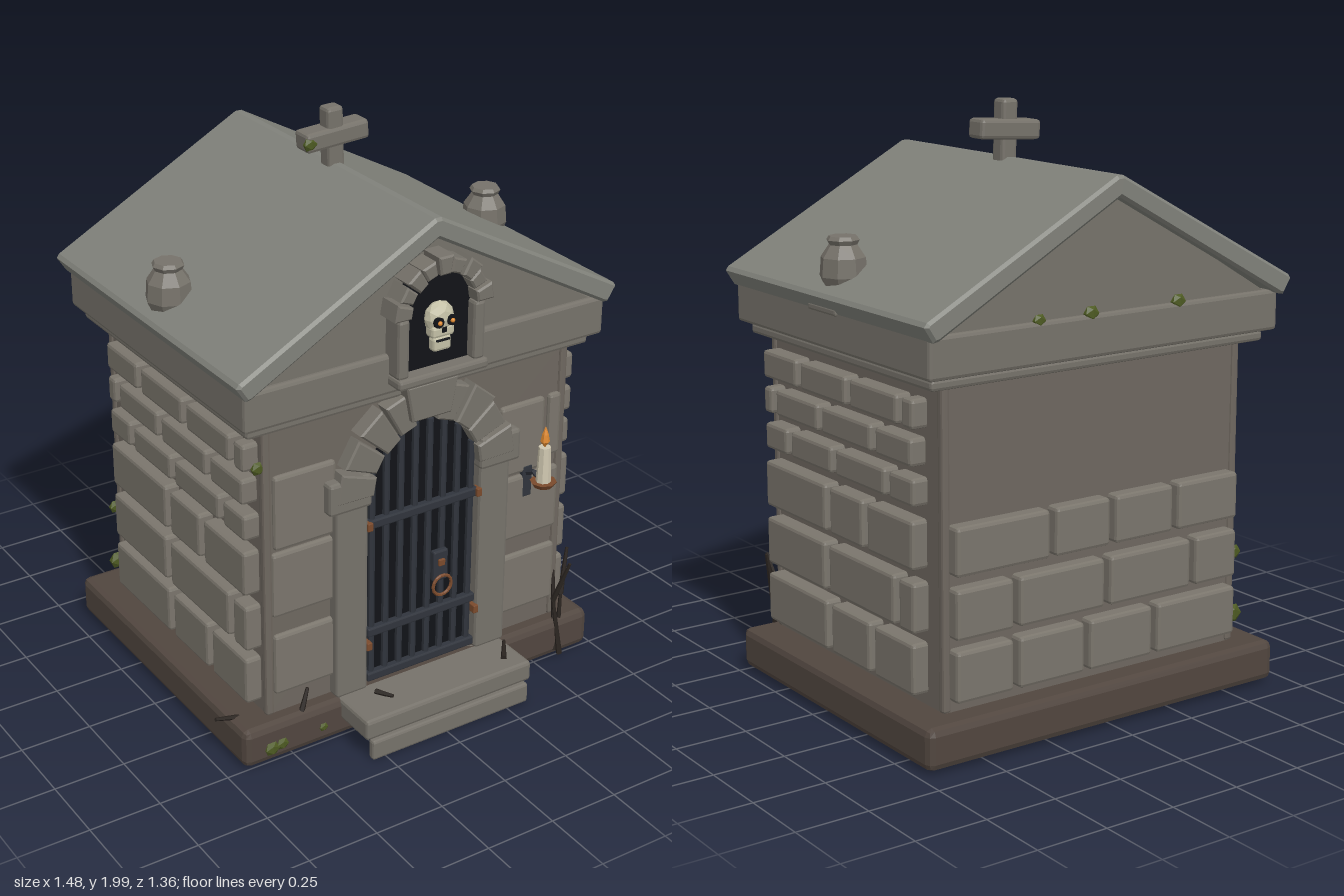
import * as THREE from 'three';
import { RoundedBoxGeometry } from 'three/addons/geometries/RoundedBoxGeometry.js';

const paint = (color) => new THREE.MeshStandardMaterial({ color, flatShading: true, side: THREE.DoubleSide });
const M = {
  roof: paint(0x80817a), stone: paint(0x76726a), brick: paint(0x7a756c), wall: paint(0x6e675f),
  base: paint(0x51463f), dark: paint(0x111317), iron: paint(0x30343c), rust: paint(0x7a4a2c),
  bone: paint(0xc4c0a6), glow: paint(0xe08a30), moss: paint(0x4d5a22), twig: paint(0x2a2420), wax: paint(0xcfc7b0),
};
const CX = 0.017; // symmetry axis of the building

export function createModel() {
  const root = new THREE.Group();
  root.name = 'mausoleum';

  const add = (name, geo, mat, parent = root) => {
    const m = new THREE.Mesh(geo, mat);
    m.name = name;
    parent.add(m);
    return m;
  };
  const group = (name) => {
    const g = new THREE.Group();
    g.name = name;
    root.add(g);
    return g;
  };
  // Chamfered block given by its extents
  const block = (name, x0, x1, y0, y1, z0, z1, mat, parent = root, r = 0.012) => {
    const w = x1 - x0, h = y1 - y0, d = z1 - z0;
    const m = add(name, new RoundedBoxGeometry(w, h, d, 1, Math.min(r, w * 0.3, h * 0.3, d * 0.3)), mat, parent);
    m.position.set((x0 + x1) / 2, (y0 + y1) / 2, (z0 + z1) / 2);
    return m;
  };
  // Flat outline extruded from z0 to z1 with a small inset bevel
  const slab = (name, shape, z0, z1, mat, parent = root, b = 0.006) => {
    const m = add(name, new THREE.ExtrudeGeometry(shape, {
      depth: z1 - z0 - 2 * b, bevelEnabled: b > 0, bevelSize: b, bevelThickness: b,
      bevelOffset: -b, bevelSegments: 1, curveSegments: 10,
    }), mat, parent);
    m.position.z = z0 + b;
    return m;
  };
  const poly = (pts) => new THREE.Shape(pts.map(([x, y]) => new THREE.Vector2(x, y)));
  // Thin rod between two points
  const rod = (name, a, b, r0, r1, mat, parent = root, sides = 5) => {
    const p = new THREE.Vector3(...a), q = new THREE.Vector3(...b);
    const m = add(name, new THREE.CylinderGeometry(r1, r0, p.distanceTo(q), sides), mat, parent);
    m.position.copy(p).lerp(q, 0.5);
    m.quaternion.setFromUnitVectors(new THREE.Vector3(0, 1, 0), q.sub(p).normalize());
    return m;
  };
  // Opening with a round head
  const archShape = (r, y0, yc) => {
    const s = new THREE.Shape();
    s.moveTo(CX - r, y0);
    s.lineTo(CX + r, y0);
    s.lineTo(CX + r, yc);
    s.absarc(CX, yc, r, 0, Math.PI, false);
    s.closePath();
    return s;
  };
  // Ring of wedge stones around an arch
  const archStones = (name, n, yc, r0, r1, z0, z1, parent, skip = -1) => {
    for (let i = 0; i < n; i++) {
      if (i === skip) continue;
      const a0 = (i + 0.06) * Math.PI / n, a1 = (i + 0.94) * Math.PI / n;
      const R = r1 - (i % 2) * 0.012;
      const at = (r, a) => [CX + r * Math.cos(a), yc + r * Math.sin(a)];
      slab(name, poly([at(r0, a0), at(R, a0), at(R, a1), at(r0, a1)]), z0, z1 - (i % 2) * 0.008, M.stone, parent);
    }
  };

  // Plinth, steps and wall core
  block('plinth', -0.69, 0.725, 0.02, 0.16, -0.66, 0.515, M.base, root, 0.025);
  block('upperStep', -0.32, 0.352, 0.085, 0.16, 0.42, 0.672, M.stone);
  block('lowerStep', -0.302, 0.335, 0.008, 0.082, 0.652, 0.682, M.stone);
  block('wallCore', -0.57, 0.605, 0.15, 1.22, -0.565, 0.455, M.wall, root, 0.008);
  for (const x of [-0.577, 0.582])
    for (const z of [-0.572, 0.435]) block('cornerPost', x, x + 0.03, 0.16, 1.21, z, z + 0.03, M.wall);

  // Brick courses: bottom, top and the joints along each course
  const courses = [
    [0.2, 0.37, [0.435, 0.033, -0.232, -0.49]], [0.405, 0.57, [0.435, 0.043, -0.38, -0.495]],
    [0.61, 0.77, [0.435, 0.032, -0.197, -0.49]], [0.815, 0.905, [0.43, 0.275, -0.01, -0.33, -0.495]],
    [0.94, 1.03, [0.435, 0.37, 0.072, -0.252, -0.485]], [1.06, 1.155, [0.435, 0.205, -0.103, -0.405, -0.495]],
  ];
  const sideBricks = group('sideBricks'), backBricks = group('backBricks'), frontBricks = group('frontBricks');
  courses.forEach(([y0, y1, zs]) => {
    for (let i = 0; i + 1 < zs.length; i++) {
      const z1 = zs[i] - (i ? 0.015 : 0), z0 = zs[i + 1] + 0.015;
      block('sideBrick', 0.59, 0.662, y0, y1, z0, z1, M.brick, sideBricks);
      block('sideBrick', -0.626, -0.56, y0, y1, -0.055 - z1, -0.055 - z0, M.brick, sideBricks);
    }
  });
  [[-0.56, -0.2, 0.08, 0.36, 0.6], [-0.56, -0.36, 0.0, 0.36, 0.6], [-0.56, -0.28, -0.02, 0.22, 0.6]].forEach((xs, row) => {
    for (let i = 0; i + 1 < xs.length; i++)
      block('backBrick', xs[i] + 0.012, xs[i + 1] - 0.012, courses[row][0], courses[row][1], -0.615, -0.55, M.brick, backBricks);
  });
  for (const [x0, x1, y0, y1] of [
    [-0.545, -0.31, 0.235, 0.46], [-0.55, -0.31, 0.53, 0.765], [-0.54, -0.31, 0.775, 1.04],
    [0.34, 0.59, 0.235, 0.46], [0.34, 0.59, 0.525, 0.765], [0.34, 0.522, 0.775, 1.04], [0.54, 0.59, 0.81, 1.04],
  ]) block('frontBrick', x0, x1, y0, y1, 0.43, 0.472, M.brick, frontBricks);

  // Doorway: dark recess, jambs, capitals, arch and keystone
  const doorway = group('doorway');
  slab('doorRecess', archShape(0.225, 0.16, 0.88), 0.4, 0.46, M.dark, doorway, 0);
  for (const s of [-1, 1]) {
    const span = (a, b) => (s > 0 ? [CX + a, CX + b] : [CX - b, CX - a]);
    block('jamb', ...span(0.222, 0.343), 0.155, 0.88, 0.42, 0.5, M.stone, doorway);
    block('capital', ...span(0.215, 0.376), 0.86, 0.975, 0.42, 0.512, M.stone, doorway);
  }
  archStones('archStone', 9, 0.89, 0.21, 0.35, 0.43, 0.515, doorway, 4);
  slab('keystone', poly([[CX - 0.075, 1.125], [CX + 0.075, 1.125], [CX + 0.1, 1.252], [CX - 0.1, 1.252]]), 0.43, 0.53, M.stone, doorway);

  // Iron gate with lock plate, ring and hinges
  const gate = group('gate');
  for (let i = 0; i < 8; i++) {
    const x = -0.178 + i * 0.056, dx = x - CX;
    rod('gateBar', [x, 0.17, 0.474], [x, 0.88 + Math.sqrt(0.215 ** 2 - dx * dx), 0.474], 0.012, 0.012, M.iron, gate, 6);
  }
  for (const y of [0.19, 0.365, 0.775]) block('gateRail', -0.2, 0.234, y - 0.016, y + 0.016, 0.466, 0.494, M.iron, gate, 0.005);
  block('lockPlate', 0.053, 0.112, 0.485, 0.6, 0.48, 0.504, M.iron, gate, 0.006);
  block('lockStud', 0.07, 0.095, 0.545, 0.57, 0.5, 0.512, M.rust, gate, 0.003);
  add('pullRing', new THREE.TorusGeometry(0.037, 0.006, 6, 14), M.rust, gate).position.set(0.083, 0.472, 0.512);
  for (const x of [-0.2, 0.234])
    for (const y of [0.32, 0.775]) block('hinge', x - 0.01, x + 0.01, y - 0.015, y + 0.015, 0.47, 0.505, M.rust, gate, 0.003);

  // Cornice, pediment and roof
  block('cornicePlate', -0.642, 0.676, 1.205, 1.242, -0.612, 0.485, M.stone);
  block('corniceBeam', -0.67, 0.708, 1.245, 1.382, -0.65, 0.52, M.stone);
  slab('pediment', poly([[-0.64, 1.37], [0.675, 1.37], [CX, 1.76]]), -0.63, 0.5, M.stone, root, 0);
  const eave = [[0.012, 1.81], [0.712, 1.432], [0.722, 1.418], [0.69, 1.368], [0.67, 1.372], [0, 1.742]];
  const left = eave.slice(0, 5).reverse().map(([x, y]) => [-x, y]);
  slab('roof', poly([...eave, ...left].map(([x, y]) => [x + CX, y])), -0.68, 0.545, M.roof, root, 0.01);
  block('eaveChip', 0.66, 0.718, 1.362, 1.388, -0.135, 0.035, M.stone);

  // Niche with skull
  const niche = group('niche');
  slab('nicheRecess', archShape(0.14, 1.3, 1.51), 0.45, 0.535, M.dark, niche, 0);
  block('nicheSill', -0.152, 0.19, 1.28, 1.316, 0.48, 0.588, M.stone, niche);
  for (const x of [-0.148, 0.14]) block('nichePost', x, x + 0.042, 1.31, 1.515, 0.48, 0.575, M.stone, niche);
  archStones('nicheStone', 9, 1.515, 0.125, 0.187, 0.48, 0.588, niche);
  const skull = group('skull');
  skull.position.set(0.018, 1.485, 0.548);
  add('cranium', new THREE.IcosahedronGeometry(0.05, 1), M.bone, skull).scale.set(1.05, 1.1, 0.75);
  block('jaw', -0.034, 0.034, -0.108, -0.06, -0.01, 0.026, M.bone, skull, 0.01);
  block('cheeks', -0.042, 0.042, -0.06, -0.02, -0.015, 0.03, M.bone, skull, 0.01);
  block('mouth', -0.026, 0.026, -0.073, -0.066, 0.02, 0.03, M.dark, skull, 0.002);
  block('nose', -0.008, 0.008, -0.042, -0.022, 0.024, 0.034, M.dark, skull, 0.002);
  for (const x of [-0.024, 0.024]) {
    const socket = add('eyeSocket', new THREE.CylinderGeometry(0.018, 0.018, 0.012, 8), M.dark, skull);
    socket.rotation.x = Math.PI / 2;
    socket.position.set(x, -0.003, 0.034);
    add('eyeGlow', new THREE.IcosahedronGeometry(0.008, 1), M.glow, skull).position.set(x, -0.003, 0.041);
  }

  // Roof cross and urns
  const cross = group('cross');
  cross.position.set(CX, 1.9, -0.065);
  block('crossPost', -0.032, 0.03, -0.12, 0.1, -0.03, 0.03, M.stone, cross).rotation.z = 0.03;
  block('crossBar', -0.116, 0.122, -0.032, 0.034, -0.044, 0.037, M.stone, cross).rotation.z = 0.06;
  const urnProfile = [[0, 1.4], [0.045, 1.4], [0.078, 1.475], [0.073, 1.535], [0.046, 1.575], [0.054, 1.59], [0.046, 1.602], [0, 1.602]]
    .map(([r, y]) => new THREE.Vector2(r, y));
  for (const x of [-0.605, 0.635])
    add('urn', new THREE.LatheGeometry(urnProfile, 8), M.stone).position.set(x, 0, -0.055);

  // Wall candle on its bracket
  const candle = group('candle');
  candle.position.set(0.457, 0, 0.558);
  const dish = add('dish', new THREE.CylinderGeometry(0.046, 0.034, 0.018, 8), M.rust, candle);
  dish.position.y = 0.77;
  add('wax', new THREE.CylinderGeometry(0.021, 0.026, 0.13, 8), M.wax, candle).position.y = 0.843;
  const flame = [[0, 0.905], [0.016, 0.928], [0.011, 0.955], [0, 0.985]].map(([r, y]) => new THREE.Vector2(r, y));
  add('flame', new THREE.LatheGeometry(flame, 6), M.glow, candle);
  rod('bracketArm', [0, 0.768, 0], [0, 0.79, -0.05], 0.01, 0.01, M.iron, candle);
  rod('bracketArm', [0, 0.79, -0.05], [0, 0.765, -0.1], 0.01, 0.01, M.iron, candle);
  block('bracketPlate', -0.02, 0.02, 0.68, 0.8, -0.11, -0.085, M.iron, candle, 0.005);

  // Dead twigs and moss
  const plants = group('plants');
  for (const [a, b] of [
    [[0.59, 0.03, 0.53], [0.575, 0.24, 0.5]], [[0.575, 0.24, 0.5], [0.605, 0.4, 0.545]],
    [[0.6, 0.03, 0.5], [0.615, 0.25, 0.49]], [[0.615, 0.25, 0.49], [0.645, 0.42, 0.475]],
    [[0.58, 0.04, 0.51], [0.6, 0.34, 0.46]], [[-0.61, 0.14, 0.4], [-0.74, 0.18, 0.41]],
    [[-0.46, 0.15, 0.49], [-0.43, 0.23, 0.48]], [[0.28, 0.165, 0.61], [0.34, 0.17, 0.53]],
    [[-0.2, 0.165, 0.54], [-0.17, 0.17, 0.6]],
  ]) rod('twig', a, b, 0.011, 0.006, M.twig, plants);
  for (const [x, y, z, s] of [
    [-0.59, 0.07, 0.515, 0.03], [-0.55, 0.075, 0.515, 0.025], [-0.39, 0.08, 0.515, 0.018], [-0.585, 1.08, 0.45, 0.028],
    [-0.085, 1.893, -0.035, 0.028], [0.3, 1.385, -0.64, 0.025], [0.1, 1.385, -0.64, 0.03], [-0.25, 1.385, -0.64, 0.03],
    [-0.585, 0.25, -0.56, 0.04], [-0.585, 0.47, -0.56, 0.03],
  ]) {
    const tuft = add('moss', new THREE.IcosahedronGeometry(s, 0), M.moss, plants);
    tuft.position.set(x, y, z);
    tuft.scale.set(1, 0.9, 0.5);
  }
  return root;
}
